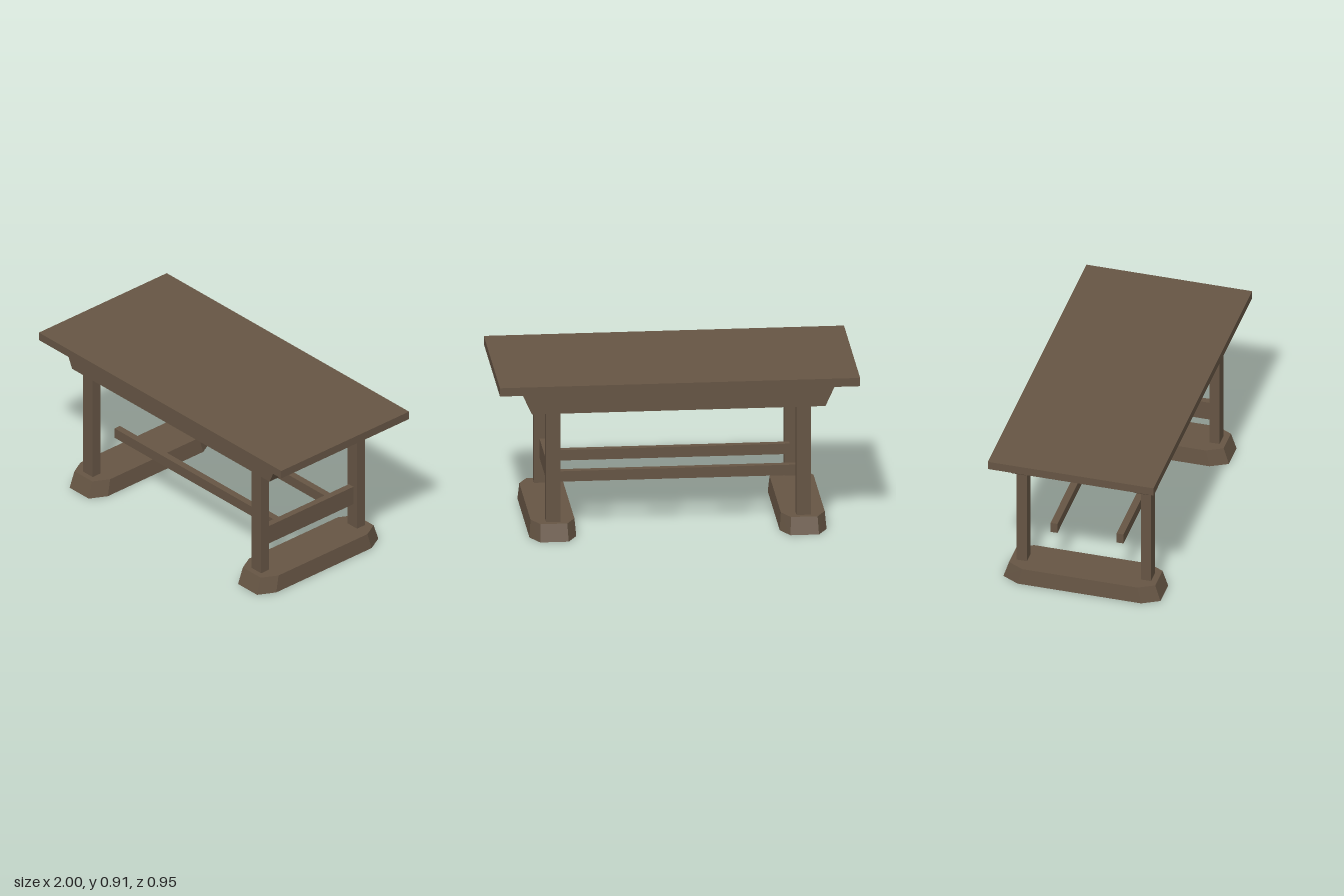
import * as THREE from 'three';
import { ConvexGeometry } from 'three/addons/geometries/ConvexGeometry.js';

const wood = new THREE.MeshStandardMaterial({ color: 0x665544 });
wood.name = 'brown wood';

export function createModel() {
  const group = new THREE.Group();
  group.name = 'trestleTable';

  const add = (name, geometry) => {
    const mesh = new THREE.Mesh(geometry, wood);
    mesh.name = name;
    group.add(mesh);
    return mesh;
  };
  // Box given by its extents on each axis
  const beam = (name, [x0, x1], [y0, y1], [z0, z1]) => {
    const mesh = add(name, new THREE.BoxGeometry(x1 - x0, y1 - y0, z1 - z0));
    mesh.position.set((x0 + x1) / 2, (y0 + y1) / 2, (z0 + z1) / 2);
    return mesh;
  };
  const around = (centre, size) => [centre - size / 2, centre + size / 2];

  beam('tableTop', [-1, 1], [0.862, 0.91], [-0.476, 0.476]);

  // Apron with slanted ends, narrower at the bottom
  const apronShape = new THREE.Shape([
    new THREE.Vector2(-0.815, 0.727), new THREE.Vector2(0.815, 0.727),
    new THREE.Vector2(0.877, 0.862), new THREE.Vector2(-0.877, 0.862),
  ]);
  const apronGeometry = new THREE.ExtrudeGeometry(apronShape, { depth: 0.082, bevelEnabled: false });
  apronGeometry.translate(0, 0, -0.041);

  // Foot: tapered block with clipped corners
  const ring = (y, halfX, halfZ, faceX, sideZ) => {
    const points = [];
    for (const sx of [-1, 1]) for (const sz of [-1, 1]) {
      points.push(new THREE.Vector3(sx * halfX, y, sz * sideZ));
      points.push(new THREE.Vector3(sx * faceX, y, sz * halfZ));
    }
    return points;
  };
  const footGeometry = new ConvexGeometry([
    ...ring(0, 0.13, 0.451, 0.079, 0.355),
    ...ring(0.096, 0.122, 0.42, 0.074, 0.331),
  ]);

  for (const side of [-1, 1]) {
    const sideName = side > 0 ? 'left' : 'right';
    const endName = side > 0 ? 'front' : 'back';
    add(sideName + 'Foot', footGeometry).position.x = side * 0.695;
    add(endName + 'Apron', apronGeometry).position.z = side * 0.355;
    beam(sideName + 'TopCrossbar', around(side * 0.665, 0.09), [0.773, 0.862], [-0.315, 0.315]);
    beam(endName + 'Rail', [-0.67, 0.67], [0.272, 0.332], around(side * 0.19, 0.04));
    for (const z of [-0.357, 0.357]) {
      beam(sideName + (z > 0 ? 'Front' : 'Back') + 'Post',
        around(side * 0.695, 0.08), [0.096, 0.727], around(z, 0.059));
    }
  }

  // Lower stretcher joins the posts at one end only
  beam('leftStretcher', [0.667, 0.705], [0.241, 0.353], [-0.328, 0.328]);

  return group;
}
